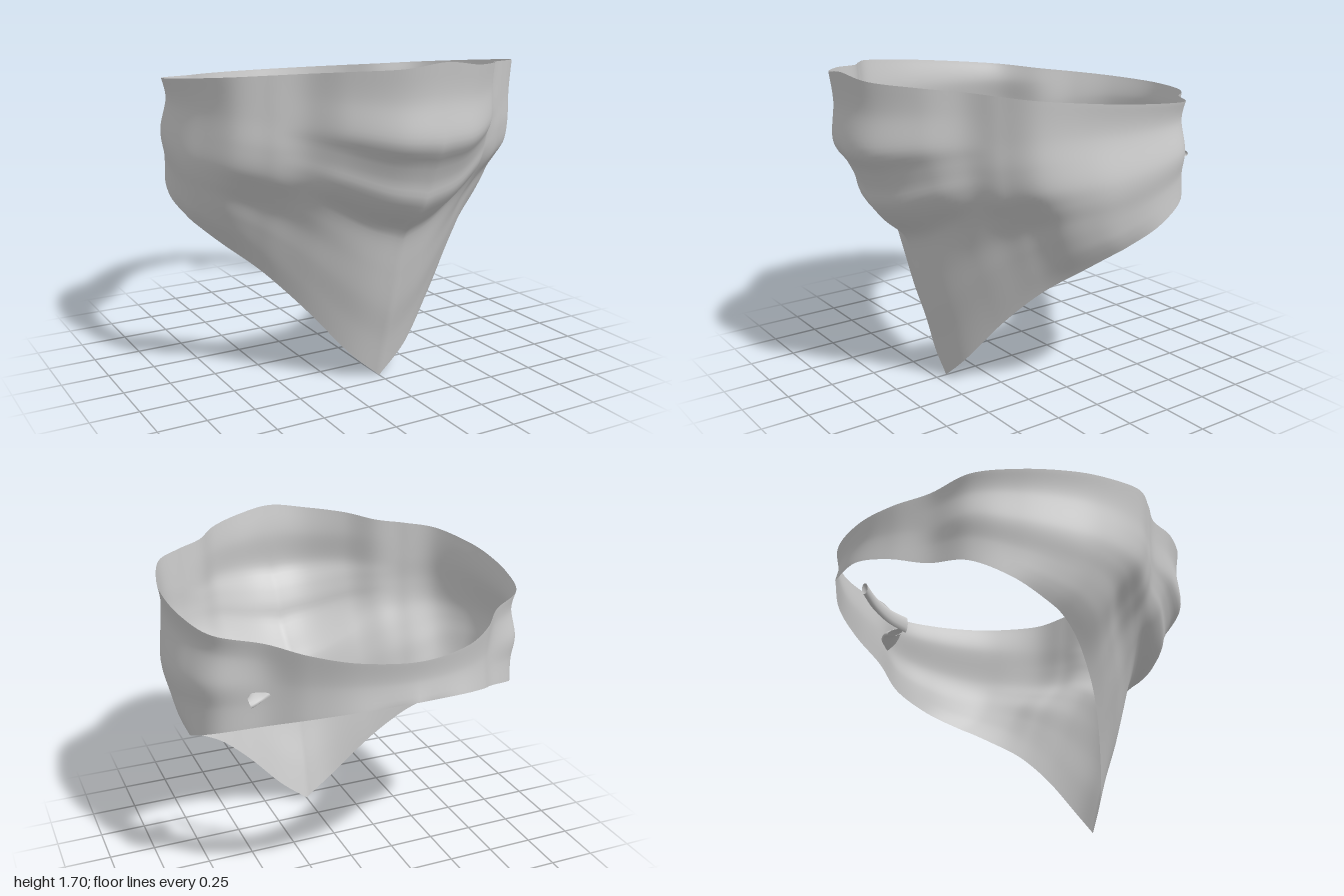
import * as THREE from 'three';

// Half outline from front centre round to back centre: rim x, rim z, hem x, hem y, hem z
const OUTLINE = [
  [0, 0.99, 0, 0, 0.44],
  [0.2, 0.955, 0.17, 0.15, 0.42],
  [0.4, 0.81, 0.36, 0.375, 0.345],
  [0.53, 0.645, 0.5, 0.53, 0.27],
  [0.67, 0.55, 0.6, 0.63, 0.2],
  [0.81, 0.43, 0.72, 0.73, 0.1],
  [0.885, 0.2, 0.8, 0.805, 0],
  [0.905, 0, 0.84, 0.855, -0.1],
  [0.88, -0.25, 0.865, 0.937, -0.28],
  [0.8, -0.48, 0.8, 1.028, -0.48],
  [0.6, -0.63, 0.6, 1.098, -0.63],
  [0.45, -0.8, 0.45, 1.177, -0.8],
  [0.26, -0.935, 0.26, 1.24, -0.935],
  [0, -1, 0, 1.27, -1],
];
const SPANS = OUTLINE.length - 1;
const { lerp, smoothstep, mapLinear } = THREE.MathUtils;

// Smooth function through (height, value) points
function profile(points) {
  const samples = new THREE.SplineCurve(points.map(p => new THREE.Vector2(...p))).getPoints(300);
  return v => {
    let i = 1;
    while (i < samples.length - 1 && samples[i].x < v) i++;
    const a = samples[i - 1], b = samples[i];
    return mapLinear(v, a.x, b.x, a.y, b.y);
  };
}

// How far the cloth has moved from hem to rim at each relative height
const frontDrape = profile([[0, 0], [0.118, 0.09], [0.235, 0.2], [0.353, 0.29], [0.459, 0.37],
  [0.5, 0.44], [0.547, 0.61], [0.6, 0.74], [0.655, 0.785], [0.715, 0.87], [0.78, 0.99], [0.9, 0.965], [1, 1]]);
const cheekDrape = profile([[0, 0], [0.1, 0.16], [0.22, 0.31], [0.33, 0.44], [0.42, 0.64],
  [0.52, 0.86], [0.65, 0.95], [0.8, 0.97], [1, 1]]);
const sideDrape = profile([[0, 0], [0.07, 0.34], [0.15, 0.6], [0.3, 0.87], [0.5, 1], [1, 1]]);
// Soft folds pushing the cloth in and out
const sideFold = profile([[0, 0], [0.25, -0.002], [0.5, 0.014], [0.8, -0.02], [1, 0]]);
const backFold = profile([[0, 0], [0.5, -0.016], [1, 0]]);

// Grid of vertices with shared, smoothed normals; columns may wrap round
function gridGeometry(cols, rows, wrap, pointAt) {
  const pos = [], index = [];
  for (let i = 0; i < cols; i++)
    for (let j = 0; j < rows; j++) pos.push(...pointAt(i, j).toArray());
  for (let i = 0; i < (wrap ? cols : cols - 1); i++)
    for (let j = 0; j < rows - 1; j++) {
      const a = i * rows + j, b = ((i + 1) % cols) * rows + j;
      index.push(a, b, b + 1, a, b + 1, a + 1);
    }
  const g = new THREE.BufferGeometry();
  g.setAttribute('position', new THREE.Float32BufferAttribute(pos, 3));
  g.setIndex(index);
  g.computeVertexNormals();
  return g;
}

function clothGeometry() {
  const rimHalf = OUTLINE.map(([x, z]) => new THREE.Vector3(x, 1.575 + 0.105 * z, z));
  rimHalf[0].y = 1.7;
  const mirrored = rimHalf.slice(1, -1).reverse().map(p => new THREE.Vector3(-p.x, p.y, p.z));
  const rim = new THREE.CatmullRomCurve3([...rimHalf, ...mirrored], true, 'catmullrom', 0.5);
  const hem = new THREE.CatmullRomCurve3(OUTLINE.map(o => new THREE.Vector3(o[2], o[3], o[4])), false, 'catmullrom', 0.5);

  const half = SPANS * 8, rows = 61;
  return gridGeometry(half * 2, rows, true, (i, j) => {
    const side = i <= half ? 1 : -1;
    const u = (i <= half ? i : 2 * half - i) / half, v = j / (rows - 1), column = u * SPANS;
    const top = rim.getPoint(u / 2), low = hem.getPoint(u);
    // Blend front, cheek, side and back shapes round the loop
    const toCheek = smoothstep(column, 0.8, 4);
    const toSide = smoothstep(column, 3.8, 7);
    const toBack = smoothstep(column, 8.5, 10.5);
    const drape = lerp(lerp(frontDrape(v), cheekDrape(v), toCheek), sideDrape(v), toSide);
    const fold = toSide * lerp(sideFold(v), backFold(v), toBack);
    const p = low.clone().lerp(top, drape);
    p.y = lerp(low.y, top.y, v);
    p.addScaledVector(new THREE.Vector3(top.x, 0, top.z).normalize(), fold);
    p.x *= side;
    return p;
  });
}

// Flattened band swept along a path; width(t) is its half width along the given axis
function bandGeometry(points, axis, width, thickness) {
  const path = new THREE.CatmullRomCurve3(points.map(p => new THREE.Vector3(...p)));
  const across = new THREE.Vector3(...axis).normalize(), n = 24, sides = 13;
  return gridGeometry(n + 1, sides, false, (i, j) => {
    const t = i / n, a = j / (sides - 1) * Math.PI * 2;
    const through = path.getTangent(t).cross(across).normalize();
    return path.getPoint(t)
      .addScaledVector(across, Math.cos(a) * width(t))
      .addScaledVector(through, Math.sin(a) * thickness);
  });
}

export function createModel() {
  const group = new THREE.Group();
  const material = new THREE.MeshStandardMaterial({ color: 0xcccccc, side: THREE.DoubleSide });
  const add = (name, geometry) => {
    const mesh = new THREE.Mesh(geometry, material);
    mesh.name = name;
    group.add(mesh);
  };

  // Draped neck cloth with pointed front
  add('cloth', clothGeometry());

  // Loose tie end curling inside the back
  add('innerTieEnd', bandGeometry(
    [[0.13, 1.32, -0.82], [0.27, 1.315, -0.735], [0.37, 1.3, -0.63], [0.43, 1.29, -0.52]],
    [0, 1, 0], t => 0.035 + 0.015 * t, 0.017));

  // Short tie end poking out through the cloth
  add('outerTieEnd', bandGeometry(
    [[0.5, 1.27, -0.565], [0.55, 1.285, -0.575], [0.62, 1.25, -0.585], [0.675, 1.22, -0.61]],
    [0, 0.4, 1], t => 0.05 + 0.02 * Math.sin(t * Math.PI) - 0.02 * t, 0.018));

  return group;
}
